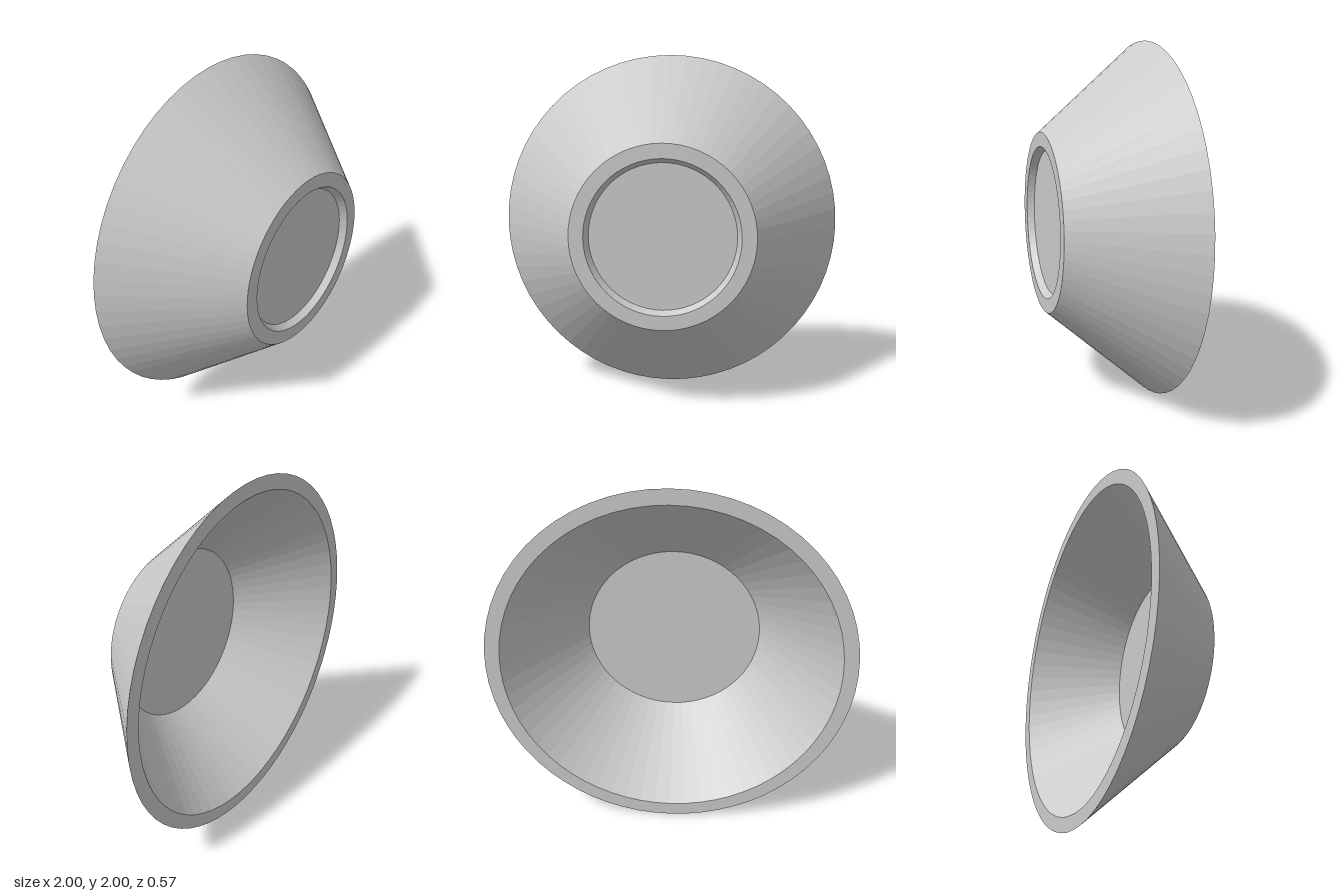
import * as THREE from 'three';

const SEGMENTS = 64;

// Closed wall section as [radius, z], from the inner floor round the rim to the foot
const PROFILE = [
  [0, 0.182],      // inner floor centre
  [0.505, 0.182],  // inner floor edge
  [0.92, -0.285],  // rim, inside
  [1, -0.285],     // rim, outside
  [0.505, 0.285],  // foot ring, outside
  [0.425, 0.285],  // foot ring, inside
  [0.402, 0.245],  // foot recess edge
  [0, 0.245],      // foot recess centre
];

export function createModel() {
  const group = new THREE.Group();
  group.name = 'bowl';

  // Bowl turned on its side: the foot faces the front, the opening faces the back
  const points = PROFILE.map(([r, z]) => new THREE.Vector2(r, z));
  const geometry = new THREE.LatheGeometry(points, SEGMENTS);
  geometry.rotateX(Math.PI / 2);

  const material = new THREE.MeshStandardMaterial({ color: 0xcccccc, flatShading: true });
  const bowl = new THREE.Mesh(geometry, material);
  bowl.name = 'bowlBody';
  bowl.position.y = 1;
  group.add(bowl);

  return group;
}
